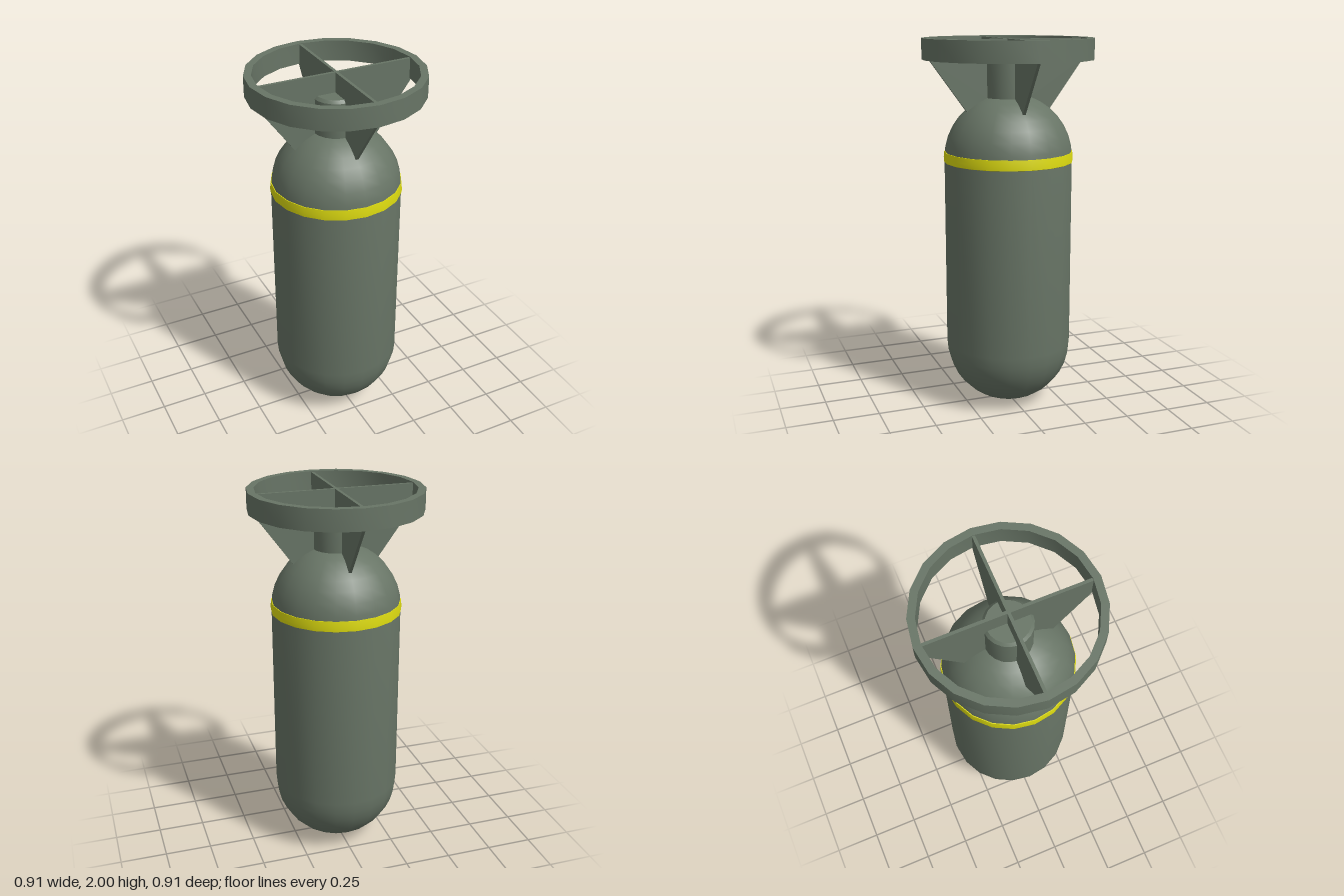
import * as THREE from 'three';
import { toCreasedNormals } from 'three/addons/utils/BufferGeometryUtils.js';

const SIDES = 20;
const R = 0.343;

export function createModel() {
  const group = new THREE.Group();
  const paint = new THREE.MeshStandardMaterial({ color: 0x687566 });
  const yellow = new THREE.MeshStandardMaterial({ color: 0xdedc10 });

  const add = (name, geometry, material = paint) => {
    const mesh = new THREE.Mesh(geometry, material);
    mesh.name = name;
    group.add(mesh);
    return mesh;
  };
  // Turned part: smooth around, sharp at profile corners
  const turned = (points) => toCreasedNormals(
    new THREE.LatheGeometry(points.map(([r, y]) => new THREE.Vector2(r, y)), SIDES), 0.6);

  // Casing: round nose, straight wall, domed tail
  const casing = [];
  const steps = 9;
  for (let i = 0; i <= steps; i++) {
    const a = (i / steps) * Math.PI / 2;
    casing.push([R * Math.sin(a), R * (1 - Math.cos(a))]);
  }
  for (let i = 0; i <= steps; i++) {
    const a = (i / steps) * Math.PI / 2;
    casing.push([i === steps ? 0 : R * Math.cos(a), 1.37 + R * Math.sin(a)]);
  }
  add('casing', turned(casing));

  // Painted band
  add('band', turned([[R, 1.35], [0.347, 1.352], [0.347, 1.375], [0.344, 1.405], [0.335, 1.405]]), yellow);

  // Tail neck with a small bevel
  add('tailNeck', turned([[0.122, 1.66], [0.122, 1.875], [0.108, 1.89], [0, 1.89]]));

  // Tail ring
  add('tailRing', turned([[0.416, 1.89], [0.455, 1.89], [0.455, 2], [0.416, 2], [0.416, 1.89]]));

  // Four fins meeting on the axis
  const thickness = 0.016;
  const outline = new THREE.Shape([
    [0, 1.61], [0.225, 1.61], [0.43, 1.89], [0.43, 1.995], [0, 1.995],
  ].map(([x, y]) => new THREE.Vector2(x, y)));
  const finGeometry = new THREE.ExtrudeGeometry(outline, { depth: thickness, bevelEnabled: false });
  finGeometry.translate(0, 0, -thickness / 2);
  for (let i = 0; i < 4; i++) add('fin', finGeometry).rotation.y = i * Math.PI / 2;

  return group;
}
